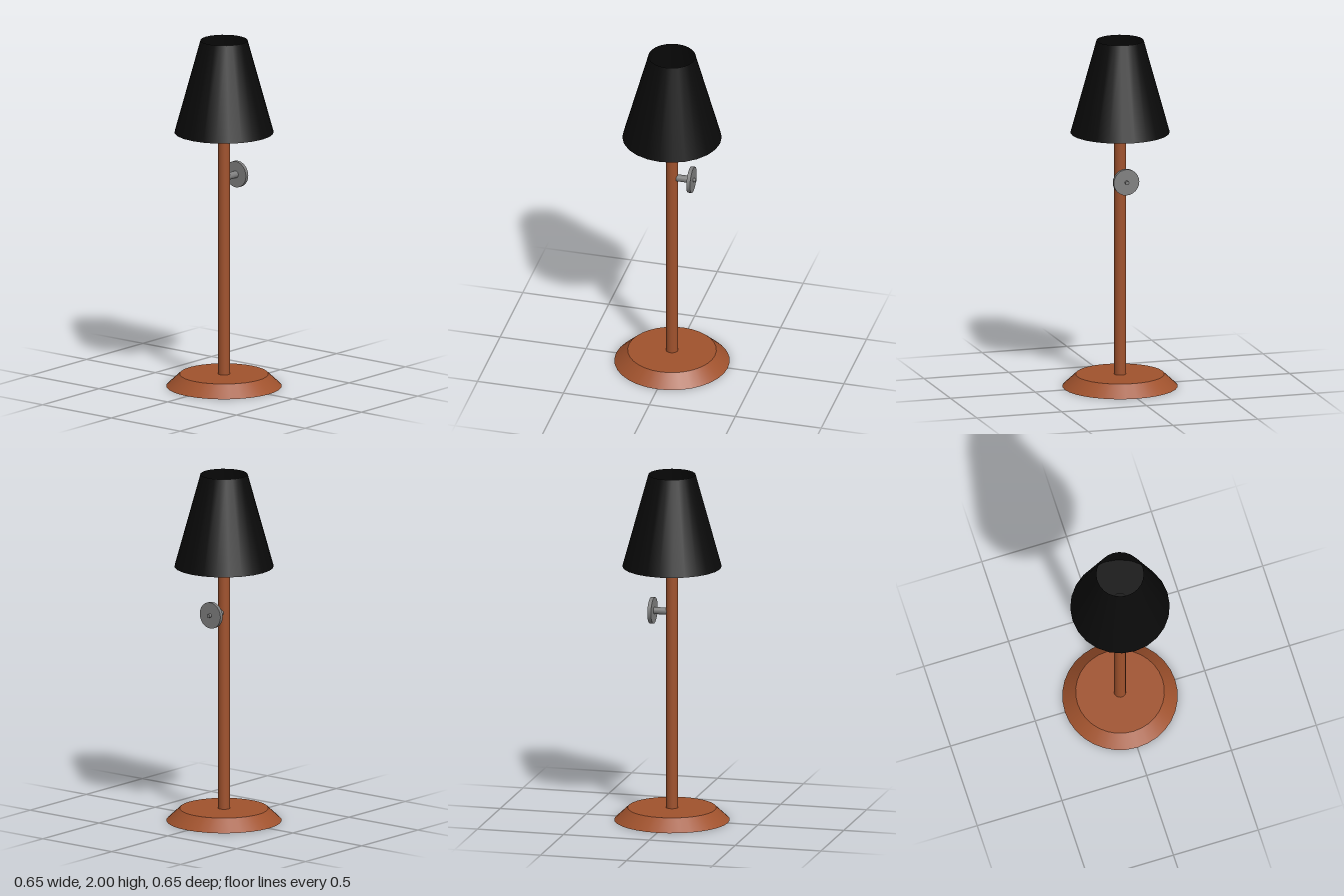
import * as THREE from 'three';

export function createModel() {
  const group = new THREE.Group();
  const wood = new THREE.MeshStandardMaterial({ color: 0xa0522d });
  const black = new THREE.MeshStandardMaterial({ color: 0x0a0a0a });
  const blackOpen = new THREE.MeshStandardMaterial({ color: 0x0a0a0a, side: THREE.DoubleSide });
  const metal = new THREE.MeshStandardMaterial({ color: 0x808080 });

  function add(name, geometry, material, parent = group) {
    const mesh = new THREE.Mesh(geometry, material);
    mesh.name = name;
    parent.add(mesh);
    return mesh;
  }

  // upright cylinder or cone between two heights
  function column(name, rTop, rBottom, y0, y1, sides, material, open = false) {
    const geometry = new THREE.CylinderGeometry(rTop, rBottom, y1 - y0, sides, 1, open);
    add(name, geometry, material).position.y = (y0 + y1) / 2;
  }

  // bevelled foot and pole
  column('base', 0.25, 0.325, 0, 0.07, 32, wood);
  column('pole', 0.034, 0.034, 0.07, 1.47, 24, wood);

  // shade: tapered wall open at the top, floor disc and lamp socket inside
  column('shade', 0.133, 0.28, 1.468, 2, 24, blackOpen, true);
  column('shadeFloor', 0.277, 0.278, 1.47, 1.478, 24, black);
  column('socket', 0.035, 0.057, 1.478, 1.6, 24, black);

  // turning knob on the left side of the pole, its axis along x
  const knob = new THREE.Group();
  knob.name = 'knob';
  knob.position.y = 1.205;
  group.add(knob);
  for (const [name, radius, x0, x1] of [
    ['knobStem', 0.02, 0.02, 0.105],
    ['knobWheel', 0.075, 0.103, 0.124],
    ['knobTip', 0.011, 0.12, 0.14],
  ]) {
    const geometry = new THREE.CylinderGeometry(radius, radius, x1 - x0, 24);
    geometry.rotateZ(-Math.PI / 2);
    add(name, geometry, metal, knob).position.x = (x0 + x1) / 2;
  }

  return group;
}
